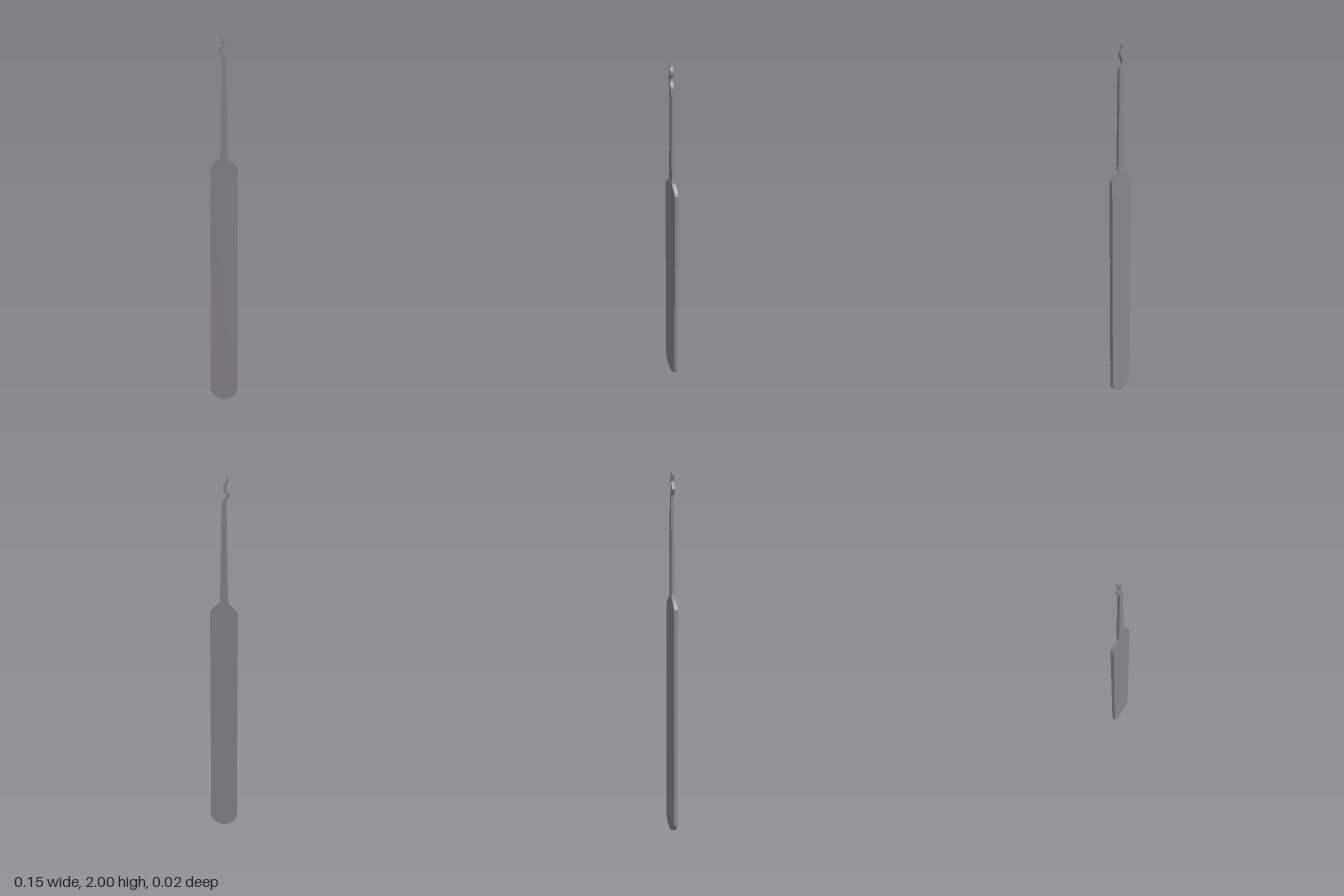
import * as THREE from 'three';

const steel = new THREE.MeshStandardMaterial({ color: 0x88868c });
steel.name = 'steel grey';

// Flat plate cut from an outline, centred on z = 0
function plate(name, shape, thickness) {
  const geometry = new THREE.ExtrudeGeometry(shape, { depth: thickness, bevelEnabled: false, curveSegments: 6 });
  geometry.translate(0, 0, -thickness / 2);
  const mesh = new THREE.Mesh(geometry, steel);
  mesh.name = name;
  return mesh;
}

export function createModel() {
  const group = new THREE.Group();
  group.name = 'hookedPick';

  // Handle: long strip with rounded foot and shoulders
  const w = 0.074;
  const handle = new THREE.Shape();
  handle.moveTo(0, 0);
  handle.bezierCurveTo(0.03, 0, 0.058, 0.018, w, 0.052);
  handle.lineTo(w, 1.29);
  handle.quadraticCurveTo(0.056, 1.327, 0.022, 1.345);
  handle.lineTo(-0.022, 1.345);
  handle.quadraticCurveTo(-0.056, 1.327, -w, 1.29);
  handle.lineTo(-w, 0.052);
  handle.bezierCurveTo(-0.058, 0.018, -0.03, 0, 0, 0);
  group.add(plate('handle', handle, 0.02));

  // Shank and wavy tip: centre line [x, y, half width]
  const stations = [
    [0, 1.342, 0.026], [0, 1.352, 0.023], [0, 1.37, 0.02], [0, 1.6, 0.0165],
    [0, 1.86, 0.012], [-0.001, 1.876, 0.011], [-0.006, 1.888, 0.0105],
    [-0.016, 1.902, 0.0095], [-0.02, 1.914, 0.0095], [-0.016, 1.926, 0.009],
    [-0.007, 1.938, 0.0085], [-0.003, 1.951, 0.008], [-0.006, 1.964, 0.008],
    [-0.014, 1.977, 0.007], [-0.016, 1.988, 0.006], [-0.016, 2, 0.005],
  ];
  const right = stations.map(([x, y, h]) => new THREE.Vector2(x + h, y));
  const left = stations.map(([x, y, h]) => new THREE.Vector2(x - h, y)).reverse();
  group.add(plate('shankAndTip', new THREE.Shape([...right, ...left]), 0.016));

  return group;
}
